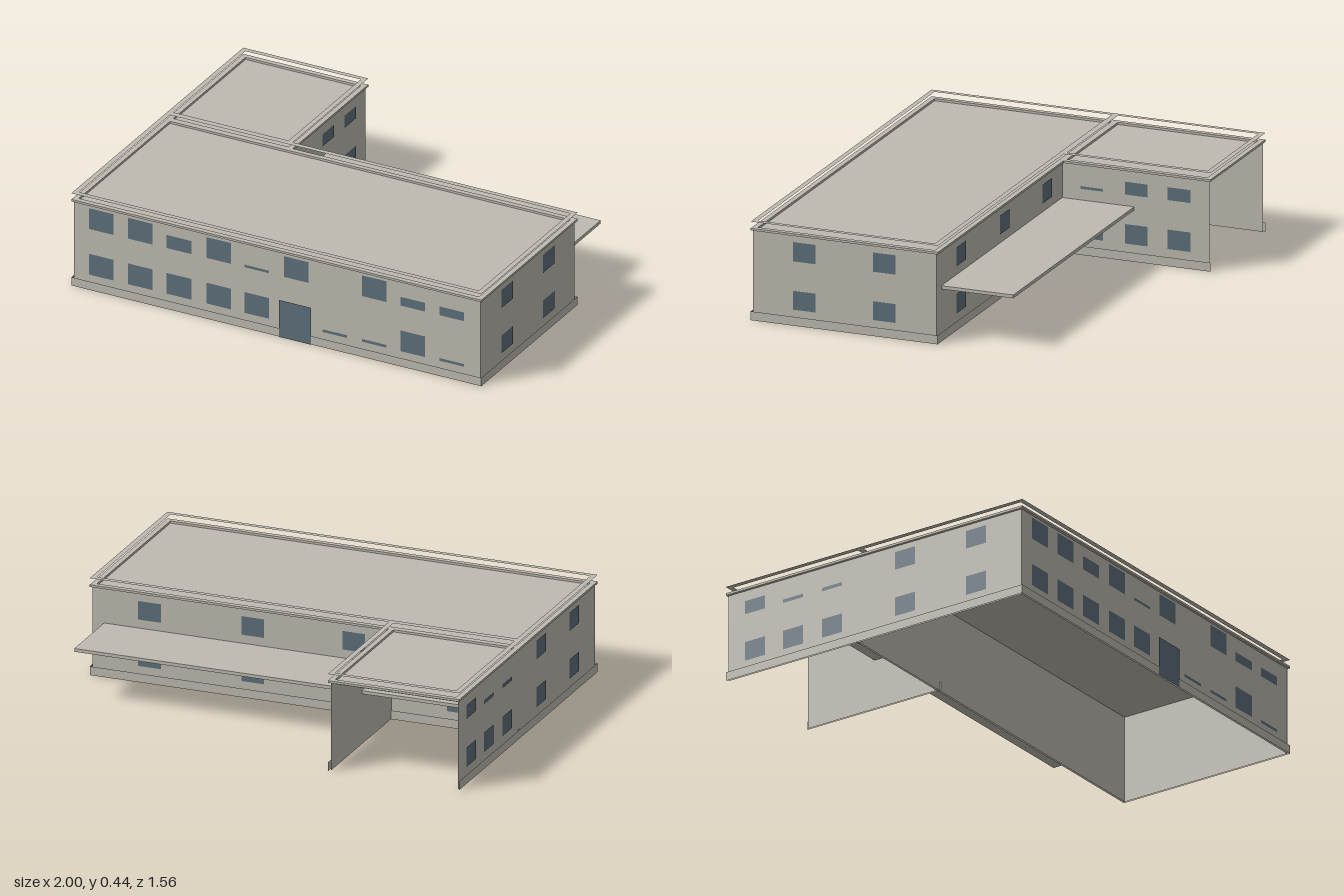
import * as THREE from 'three';

// Walls, roofs and rails are thin shells, so both sides show
const wallMat = new THREE.MeshStandardMaterial({ color: 0xbebab0, side: THREE.DoubleSide });
wallMat.name = 'stone grey';
const glassMat = new THREE.MeshStandardMaterial({ color: 0x5c6f7a });
glassMat.name = 'slate blue';

const ROOF = 0.403, RAIL = 0.445, PLINTH = 0.04;

function add(parent, name, geometry, material, x, y, z) {
  const mesh = new THREE.Mesh(geometry, material);
  mesh.name = name;
  mesh.position.set(x, y, z);
  parent.add(mesh);
  return mesh;
}

// Box given by its min and max corners
function slab(parent, name, x0, x1, y0, y1, z0, z1) {
  return add(parent, name, new THREE.BoxGeometry(x1 - x0, y1 - y0, z1 - z0), wallMat,
    (x0 + x1) / 2, (y0 + y1) / 2, (z0 + z1) / 2);
}

// Wall facing local +z; panes are [centre along the wall, bottom, top, width]
function wall(parent, name, cx, cz, length, angle, panes) {
  const g = new THREE.Group();
  g.name = name;
  g.position.set(cx, 0, cz);
  g.rotation.y = angle;
  parent.add(g);
  add(g, name + 'Body', new THREE.PlaneGeometry(length, ROOF), wallMat, 0, ROOF / 2, 0);
  add(g, name + 'Plinth', new THREE.PlaneGeometry(length + 0.018, PLINTH), wallMat, 0, PLINTH / 2, 0.009);
  for (const [u, y0, y1, w = 0.105] of panes) {
    const isDoor = y0 < PLINTH;
    add(g, isDoor ? 'door' : 'window', new THREE.PlaneGeometry(w, y1 - y0), glassMat,
      u, (y0 + y1) / 2, isDoor ? 0.012 : 0.003);
  }
}

function rectangle(path, x0, x1, z0, z1) {
  path.moveTo(x0, -z0);
  path.lineTo(x1, -z0);
  path.lineTo(x1, -z1);
  path.lineTo(x0, -z1);
  path.closePath();
  return path;
}

// Flat roof with a coping at its edge and a thin flat rail raised above it
function roof(parent, name, x0, x1, z0, z1) {
  const w = 0.024, y0 = 0.405, y1 = 0.415;
  slab(parent, name + 'Deck', x0 + 0.01, x1 - 0.01, ROOF - 0.003, ROOF, z0 + 0.01, z1 - 0.01);

  const ring = rectangle(new THREE.Shape(), x0, x1, z0, z1);
  ring.holes.push(rectangle(new THREE.Path(), x0 + w, x1 - w, z0 + w, z1 - w));
  const copingGeometry = new THREE.ExtrudeGeometry(ring, { depth: y1 - y0, bevelEnabled: false });
  add(parent, name + 'Coping', copingGeometry.rotateX(-Math.PI / 2), wallMat, 0, y0, 0);
  const railGeometry = new THREE.ShapeGeometry(ring);
  add(parent, name + 'Rail', railGeometry.rotateX(-Math.PI / 2), wallMat, 0, RAIL, 0);
}

export function createModel() {
  const model = new THREE.Group();
  model.name = 'building';

  // Front wall: window columns with the top of the lower and upper panes
  const front = [[0.093, 0, 0.178, 0.155]];
  const columns = [
    [-0.857, 0.17, 0.39], [-0.667, 0.17, 0.39], [-0.478, 0.17, 0.353], [-0.285, 0.17, 0.39],
    [-0.098, 0.17, 0.302], [0.094, 0, 0.39], [0.282, 0.083, 0], [0.474, 0.083, 0.39],
    [0.663, 0.17, 0.332], [0.852, 0.083, 0.332],
  ];
  for (const [x, low, high] of columns) {
    if (low) front.push([x, 0.07, low, 0.12]);
    if (high) front.push([x, 0.29, high, 0.12]);
  }
  wall(model, 'frontWall', 0, 0.768, 1.982, 0, front);

  // Main block left wall (local x runs along -z)
  const left = [];
  for (const z of [0.53, 0.157]) {
    left.push([0.342 - z, 0.07, 0.155], [0.342 - z, 0.288, 0.375]);
  }
  wall(model, 'leftWall', 0.991, 0.342, 0.854, Math.PI / 2, left);

  // Right wall, running along main block and wing (local x runs along +z)
  const right = [];
  const rightColumns = [[0.53, 0.375], [0.157, 0.375], [-0.225, 0.308], [-0.43, 0.308], [-0.63, 0.354]];
  for (const [z, high] of rightColumns) {
    right.push([z + 0.001, 0.072, 0.16], [z + 0.001, 0.292, high]);
  }
  wall(model, 'rightWall', -0.991, -0.001, 1.538, -Math.PI / 2, right);

  // Back wall of the main block (local x runs along -x)
  const back = [];
  for (const x of [0.725, 0.245, -0.225, -0.71]) {
    back.push([-x, 0.072, 0.16]);
    if (x > -0.5) back.push([-x, 0.285, 0.37]);
  }
  wall(model, 'backWall', 0, -0.085, 1.982, Math.PI, back);

  // Wing wall facing the yard; the wing is open at its back
  const wing = [];
  for (const [z, high] of [[-0.223, 0.308], [-0.43, 0.354], [-0.63, 0.354]]) {
    wing.push([-0.428 - z, 0.075, 0.163], [-0.428 - z, 0.296, high]);
  }
  wall(model, 'wingWall', -0.4, -0.428, 0.684, Math.PI / 2, wing);

  // Roofs
  roof(model, 'main', -1, 1, -0.095, 0.777);
  roof(model, 'wing', -1, -0.39, -0.779, -0.077);

  // Canopy along the back, passing through the wing
  slab(model, 'canopy', -0.93, 0.937, 0.23, 0.245, -0.42, -0.085);

  return model;
}
